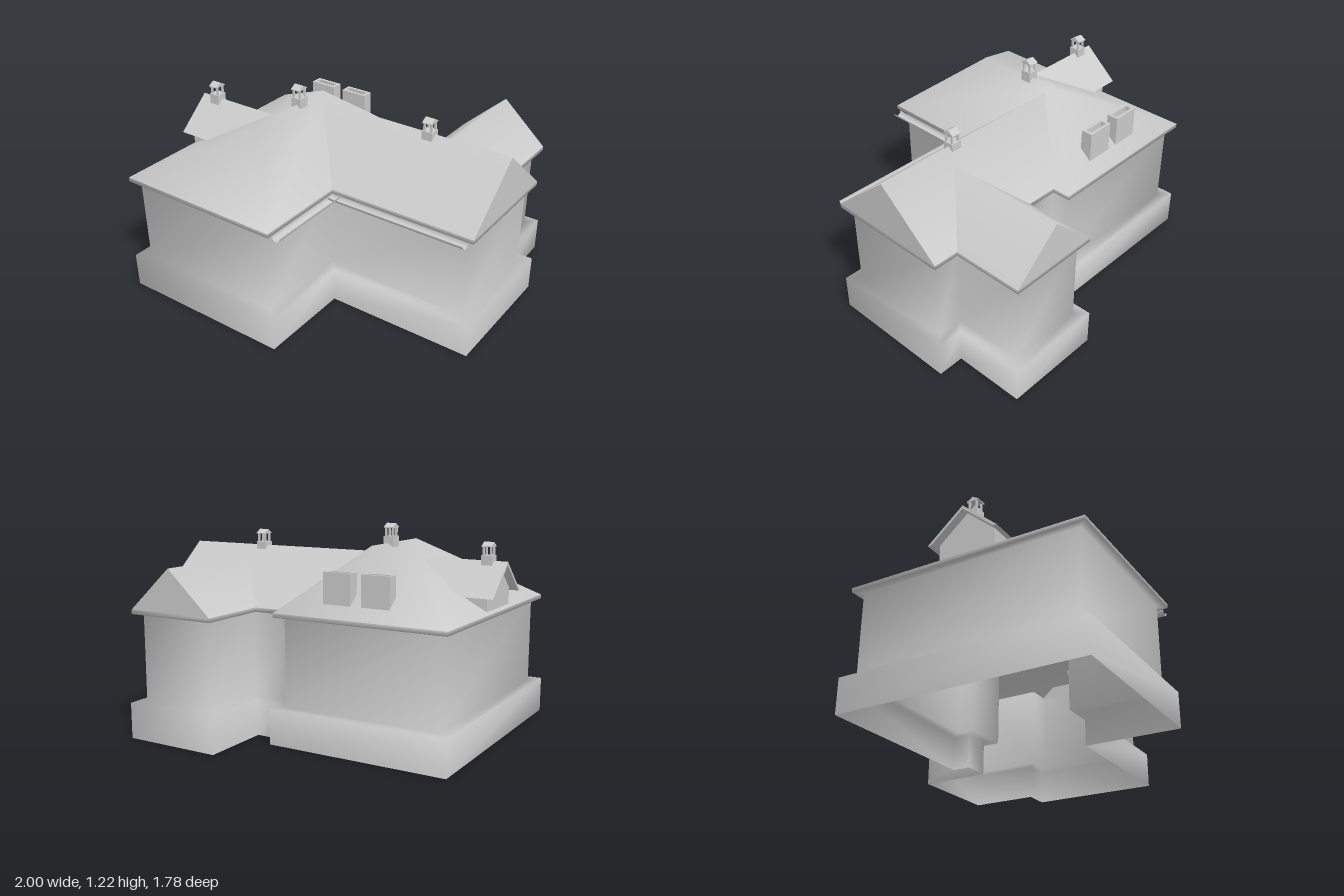
import * as THREE from 'three';

const material = new THREE.MeshStandardMaterial({ color: 0xcccccc, side: THREE.DoubleSide });

function addMesh(parent, name, geometry) {
  const mesh = new THREE.Mesh(geometry, material);
  mesh.name = name;
  parent.add(mesh);
  return mesh;
}

// Indexed surface with smooth normals
function surface(points, indices) {
  const g = new THREE.BufferGeometry();
  g.setAttribute('position', new THREE.Float32BufferAttribute(points.flat(), 3));
  g.setIndex(indices);
  g.computeVertexNormals();
  return g;
}

// Ground plan (x, z) of the main block with its side and back wings
const plan = [
  [-0.99, 0.89], [0.09, 0.89], [0.09, 0.32], [0.995, 0.32], [0.995, -0.47], [0.84, -0.47],
  [0.84, -0.89], [0.25, -0.89], [0.25, -0.47], [0.09, -0.47], [0.09, -0.58], [-0.99, -0.58],
];

// Moves the right-angled plan inwards by d
function insetPlan(d) {
  const n = plan.length;
  const inward = (a, b) => [Math.sign(b[1] - a[1]) * d, -Math.sign(b[0] - a[0]) * d];
  return plan.map((p, i) => {
    const u = inward(plan[(i + n - 1) % n], p);
    const v = inward(p, plan[(i + 1) % n]);
    return [p[0] + u[0] + v[0], p[1] + u[1] + v[1]];
  });
}

// Lofts the plan through a list of [inset, height] levels
function loftPlan(levels) {
  const n = plan.length;
  const points = [];
  const indices = [];
  levels.forEach(([inset, y], k) => {
    insetPlan(inset).forEach(([x, z]) => points.push([x, y, z]));
    if (k === 0) return;
    for (let i = 0; i < n; i++) {
      const j = (i + 1) % n;
      const a = (k - 1) * n + i, b = (k - 1) * n + j, c = k * n + j, d = k * n + i;
      indices.push(a, b, c, a, c, d);
    }
  });
  return surface(points, indices);
}

// Hipped roof over the main block
function hipRoof() {
  const x0 = -0.972, x1 = 0.072, z0 = -0.562, z1 = 0.872, y = 0.75;
  return surface(
    [[x0, y, z1], [x1, y, z1], [x1, y, z0], [x0, y, z0], [-0.31, 1.105, 0.44], [-0.31, 1.105, -0.13]],
    [0, 1, 4, 1, 2, 5, 1, 5, 4, 2, 3, 5, 3, 0, 4, 3, 4, 5],
  );
}

// Gabled roof whose closed gable faces +z at z = 0
function gableRoof(half, height, length) {
  const ends = [[-half, 0, 0], [half, 0, 0], [0, height, 0]];
  const back = ends.map(([x, y]) => [x, y, -length]);
  return surface(
    [...ends, ...back, ...ends],
    [1, 4, 5, 1, 5, 2, 0, 2, 5, 0, 5, 3, 6, 7, 8],
  );
}

// Extrudes an outline from z = front backwards
function extrudeBack(points, front, depth) {
  const shape = new THREE.Shape(points.map(([x, y]) => new THREE.Vector2(x, y)));
  const g = new THREE.ExtrudeGeometry(shape, { depth, bevelEnabled: false });
  return g.translate(0, 0, front - depth);
}

function dormer() {
  const group = new THREE.Group();
  group.name = 'dormer';
  addMesh(group, 'dormerRoof', extrudeBack(
    [[-0.213, 0], [-0.19, 0], [0, 0.165], [0.19, 0], [0.213, 0], [0, 0.185]], 0, 0.6));
  addMesh(group, 'dormerBody', extrudeBack(
    [[-0.17, -0.1], [0.17, -0.1], [0.17, 0.022], [0, 0.17], [-0.17, 0.022]], -0.05, 0.45));
  group.position.set(-1, 0.84, 0.178);
  group.rotation.y = -Math.PI / 2;
  return group;
}

// Chimney with an open, four-post top under a small gabled cap
function chimney(x, y, z) {
  const group = new THREE.Group();
  group.name = 'chimney';
  addMesh(group, 'chimneyBase', new THREE.BoxGeometry(0.066, 0.1, 0.066).translate(0, 0.01, 0));
  for (const sx of [-1, 1]) {
    for (const sz of [-1, 1]) {
      addMesh(group, 'chimneyPost', new THREE.BoxGeometry(0.011, 0.055, 0.011)
        .translate(sx * 0.022, 0.085, sz * 0.022));
    }
  }
  const cap = addMesh(group, 'chimneyCap', extrudeBack(
    [[-0.037, 0.108], [0.037, 0.108], [0.037, 0.113], [0, 0.135], [-0.037, 0.113]], 0.03, 0.06));
  cap.rotation.y = Math.PI / 2;
  group.position.set(x, y, z);
  return group;
}

// Upright roof shaft with a sunken top
function roofShaft(x) {
  const group = new THREE.Group();
  group.name = 'roofShaft';
  const rect = (Type, w, d) => new Type([[-w, -d], [w, -d], [w, d], [-w, d]]
    .map(([a, b]) => new THREE.Vector2(a, b)));
  const rim = rect(THREE.Shape, 0.085, 0.035);
  rim.holes.push(rect(THREE.Path, 0.067, 0.018));
  const walls = new THREE.ExtrudeGeometry(rim, { depth: 0.2, bevelEnabled: false });
  addMesh(group, 'shaftWalls', walls.rotateX(-Math.PI / 2));
  addMesh(group, 'shaftFloor', new THREE.BoxGeometry(0.136, 0.02, 0.038).translate(0, 0.15, 0));
  group.position.set(x, 0.79, -0.45);
  return group;
}

// Open half-round gutter running along z
function gutter(length) {
  return new THREE.CylinderGeometry(0.027, 0.027, length, 10, 1, true, -Math.PI / 2, Math.PI)
    .rotateX(Math.PI / 2);
}

export function createModel() {
  const house = new THREE.Group();
  house.name = 'house';

  // Plinth, ledge, walls, soffit and fascia as one continuous shell
  addMesh(house, 'wallsAndPlinth', loftPlan(
    [[0, 0], [0, 0.21], [0.065, 0.21], [0.065, 0.725], [0.018, 0.725], [0.018, 0.75]]));

  // Roofs
  addMesh(house, 'mainRoof', hipRoof());
  const side = addMesh(house, 'sideWingRoof', gableRoof(0.377, 0.32, 1.25));
  side.position.set(0.977, 0.75, -0.075);
  side.rotation.y = Math.PI / 2;
  const back = addMesh(house, 'backWingRoof', gableRoof(0.277, 0.25, 0.74));
  back.position.set(0.545, 0.75, -0.872);
  back.rotation.y = Math.PI;

  // Roof details
  house.add(dormer());
  house.add(chimney(-0.318, 1.085, 0.09));
  house.add(chimney(0.473, 1.03, -0.07));
  house.add(chimney(-0.885, 0.995, 0.182));
  for (const x of [-0.525, -0.29]) house.add(roofShaft(x));

  // Gutters around the inner corner
  addMesh(house, 'mainGutter', gutter(0.54)).position.set(0.102, 0.725, 0.573);
  const sideGutter = addMesh(house, 'sideGutter', gutter(0.87));
  sideGutter.position.set(0.51, 0.725, 0.329);
  sideGutter.rotation.y = Math.PI / 2;

  return house;
}
